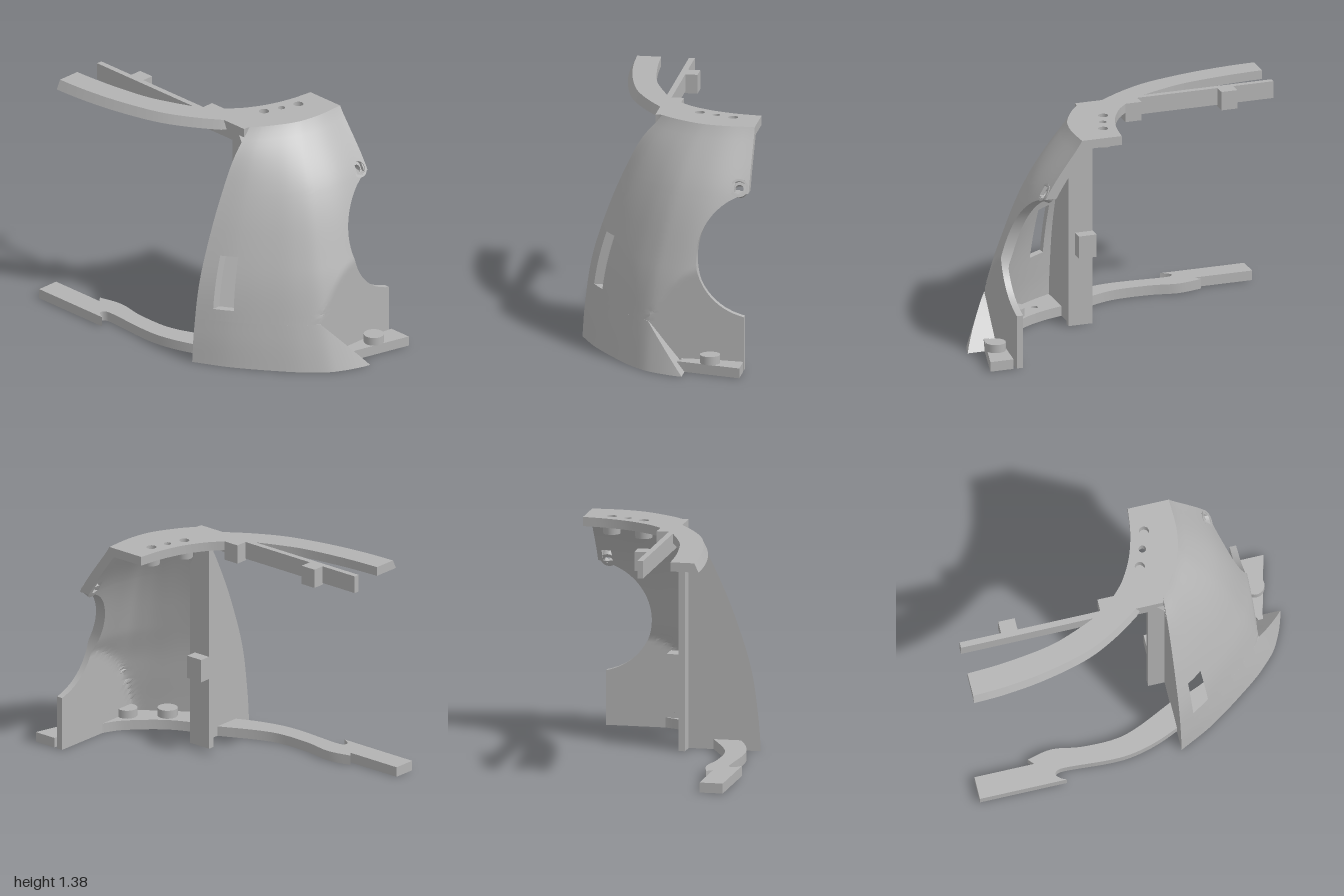
import * as THREE from 'three';
import { toCreasedNormals } from 'three/addons/utils/BufferGeometryUtils.js';

const grey = new THREE.MeshStandardMaterial({ color: 0xb3b3b3, side: THREE.DoubleSide });
grey.name = 'plain grey';

// smooth function through a few [input, value] points
function through(p) {
  const slope = (i) => {
    const a = p[Math.max(i - 1, 0)], b = p[Math.min(i + 1, p.length - 1)];
    return (b[1] - a[1]) / (b[0] - a[0]);
  };
  return (v) => {
    let i = 0;
    while (i < p.length - 2 && v > p[i + 1][0]) i++;
    const h = p[i + 1][0] - p[i][0];
    const u = Math.min(Math.max((v - p[i][0]) / h, 0), 1), w = 1 - u;
    return p[i][1] * (1 + 2 * u) * w * w + p[i + 1][1] * u * u * (3 - 2 * u)
      + h * u * w * (w * slope(i) - u * slope(i + 1));
  };
}

// shell: rear edge position, depth by height, and the shared cross-section
const edgeX = through([[0, -0.505], [0.2, -0.49], [0.5, -0.445], [0.8, -0.35], [1.04, -0.25], [1.23, -0.15], [1.37, -0.03]]);
const depth = through([[0, 0.785], [0.28, 0.69], [0.6, 0.59], [1.03, 0.42], [1.37, 0.18]]);
const section = through([[0, 0], [0.1, 0.26], [0.26, 0.57], [0.36, 0.735], [0.48, 0.875], [0.7, 0.98], [1, 0.96]]);
const along = (x, y) => (x - edgeX(y)) / (0.55 - edgeX(y));
const shellZ = (x, y) => 0.23 + depth(y) * section(along(x, y));
const flareX = (y) => -0.02 + (0.28 - y) * 0.82;
const FLAT = 0.81, INNER_FLAT = 0.77, TOP = 1.375;
const BOSS = [0.49, 1.06];
const { smoothstep } = THREE.MathUtils;

// right border of the upper shell, with the round cut-out
function borderX(y) {
  const d = 0.359 ** 2 - (y - 0.68) ** 2;
  return d > 0 ? Math.min(0.55, 0.62 - Math.sqrt(d)) : 0.55;
}

// thick curved panel on a grid, open at the slot and screw hole; every open edge gets a rim
function panel(rows, right, limit) {
  const cols = [0, 0.025, 0.05, 0.085, 0.115, 0.16, 0.2];
  for (let i = 1; i <= 22; i++) cols.push(0.2 + (0.8 * i) / 22);
  const point = (i, j, inner) => {
    const y = rows[j], x0 = edgeX(y), t = cols[i], near = x0 + Math.min(t, 0.2) * (0.55 - x0);
    const x = t <= 0.2 ? near : near + ((t - 0.2) / 0.8) * (right(y) - near);
    const z = shellZ(x, y);
    if (!inner) return [x, y, Math.min(z, limit)];
    const k = smoothstep(along(x, y), 0.12, 0.6);
    const thick = 0.045 + 0.025 * smoothstep(y, 0.4, 0.64);
    return [x + 0.05 * (1 - k), y, Math.min(z - k * thick, INNER_FLAT)];
  };
  const keep = (i, j) => {
    if (i < 0 || j < 0 || i >= cols.length - 1 || j >= rows.length - 1) return false;
    if (cols[i] > 0.049 && cols[i] < 0.114 && rows[j] > 0.349 && rows[j] < 0.669) return false;
    const a = point(i, j, false), b = point(i + 1, j + 1, false);
    return Math.hypot((a[0] + b[0]) / 2 - BOSS[0], (a[1] + b[1]) / 2 - BOSS[1]) > 0.034;
  };
  const pos = [];
  const quad = (a, b, c, d) => [a, b, c, a, c, d].forEach((p) => pos.push(...p));
  for (let j = 0; j < rows.length - 1; j++) for (let i = 0; i < cols.length - 1; i++) {
    if (!keep(i, j)) continue;
    const c = [[i, j], [i + 1, j], [i + 1, j + 1], [i, j + 1]];
    const o = c.map(([a, b]) => point(a, b, false)), n = c.map(([a, b]) => point(a, b, true));
    quad(...o);
    quad(n[3], n[2], n[1], n[0]);
    [[i, j - 1], [i + 1, j], [i, j + 1], [i - 1, j]].forEach((next, e) => {
      const f = (e + 1) % 4;
      if (!keep(...next)) quad(o[f], o[e], n[e], n[f]);
    });
  }
  const g = new THREE.BufferGeometry();
  g.setAttribute('position', new THREE.Float32BufferAttribute(pos, 3));
  return toCreasedNormals(g, 0.5);
}

const curve = (pts, n = 24) => new THREE.SplineCurve(pts.map(([x, z]) => new THREE.Vector2(x, z))).getPoints(n).map((p) => [p.x, p.y]);

// flat slab from an [x, z] outline, with round holes [x, z, radius]
function slab(outline, y, height, holes = []) {
  const shape = new THREE.Shape(outline.map(([x, z]) => new THREE.Vector2(x, -z)));
  for (const [x, z, r] of holes) shape.holes.push(new THREE.Path().absarc(x, -z, r, 0, Math.PI * 2, true));
  const g = new THREE.ExtrudeGeometry(shape, { depth: height, bevelEnabled: false, curveSegments: 10 });
  return toCreasedNormals(g.rotateX(-Math.PI / 2).translate(0, y, 0), 0.5);
}

// upright plate from an [x, y] outline
function upright(outline, z, thick) {
  const shape = new THREE.Shape(outline.map(([x, y]) => new THREE.Vector2(x, y)));
  return new THREE.ExtrudeGeometry(shape, { depth: thick, bevelEnabled: false }).translate(0, 0, z);
}

export function createModel() {
  const group = new THREE.Group();
  const add = (name, geometry) => {
    const mesh = new THREE.Mesh(geometry, grey);
    mesh.name = name;
    group.add(mesh);
    return mesh;
  };
  const box = (name, x0, x1, y0, y1, z0, z1) => add(name, new THREE.BoxGeometry(x1 - x0, y1 - y0, z1 - z0)
    .translate((x0 + x1) / 2, (y0 + y1) / 2, (z0 + z1) / 2));

  // curved shell with slot and round cut-out
  const rows = [0.28, 0.31, 0.327, 0.335, 0.35];
  for (let i = 1; i <= 14; i++) rows.push(0.35 + (0.32 * i) / 14);
  for (let i = 1; i <= 14; i++) rows.push(0.67 + (0.34 * i) / 14);
  rows.push(1.02, 1.028, 1.033);
  for (let i = 1; i <= 10; i++) rows.push(1.033 + ((TOP - 1.033) * i) / 10);
  add('shell', panel(rows, borderX, FLAT));

  // lower flare, closed by its side wall, and the flat front plate
  const low = Array.from({ length: 9 }, (_, i) => (0.28 * i) / 8);
  add('lowerFlare', panel(low, flareX, 2));
  add('frontPlate', upright([[-0.02, 0.28], [0.21, 0], [0.55, 0], [0.55, 0.28]], INNER_FLAT, FLAT - INNER_FLAT));

  // rear plate and upright strip with a slanted top corner
  const back = [[-0.05, 0]];
  for (let i = 0; i <= 15; i++) back.push([edgeX(i * 0.08) + 0.045, i * 0.08]);
  back.push([-0.05, 1.25]);
  add('rearPlate', upright(back, 0.23, 0.03));
  add('uprightStrip', upright([[0.13, 0], [0.28, 0], [0.28, 1.12], [0.165, 1.36], [0.13, 1.36]], 0.03, 0.04).rotateY(-Math.PI / 2));

  // top bar and mounting blocks
  box('topBar', -0.07, -0.035, 1.27, TOP, -1, 0.17);
  for (const z of [-0.75, -0.15]) box('topBlock', -0.04, 0.038, 1.26, TOP, z, z + 0.1);
  box('uprightBlock', -0.04, 0.04, 0.44, 0.58, 0.13, 0.24);

  // top plate with its curved arm, whose outer side leans inward
  const topOuter = [
    ...curve([[-0.395, -1], [-0.385, -0.8], [-0.35, -0.55], [-0.28, -0.28], [-0.18, -0.08], [-0.07, 0.08]]),
    [-0.07, 0.225],
    ...curve([[-0.03, 0.23], [0.1, 0.305], [0.25, 0.375], [0.4, 0.4], [0.55, 0.39]]),
  ];
  const topInner = [
    ...curve([[0.55, 0.155], [0.4, 0.135], [0.25, 0.09], [0.12, 0.02], [0.04, -0.05]]),
    [-0.05, -0.06],
    ...curve([[-0.07, -0.2], [-0.125, -0.33], [-0.18, -0.5], [-0.22, -0.77], [-0.235, -1]]),
  ];
  const topPlate = slab([...topOuter, ...topInner], 1.32, TOP - 1.32, [[0.18, 0.14, 0.03], [0.285, 0.18, 0.022], [0.39, 0.215, 0.03]]);
  const armMiddle = through([[-1, -0.31], [-0.55, -0.27], [-0.28, -0.19], [-0.08, -0.12], [0.1, -0.03]]);
  const tp = topPlate.attributes.position;
  for (let i = 0; i < tp.count; i++) {
    if (tp.getZ(i) < 0.07 && tp.getX(i) < armMiddle(tp.getZ(i))) tp.setX(i, tp.getX(i) + (tp.getY(i) > 1.35 ? 0.017 : -0.01));
  }
  add('topPlate', toCreasedNormals(topPlate, 0.5));
  for (const [x, z] of [[0.18, 0.14], [0.39, 0.215]]) {
    add('topPeg', new THREE.CylinderGeometry(0.055, 0.05, 0.05, 24).translate(x, 1.297, z));
  }

  // base ring with its hooked rear arm
  const baseOuter = [
    [-0.55, -1], [-0.55, -0.475],
    ...curve([[-0.535, -0.505], [-0.51, -0.53], [-0.485, -0.52], [-0.475, -0.46], [-0.49, -0.2], [-0.48, -0.05], [-0.44, 0.1], [-0.385, 0.23]]),
    ...curve([[-0.475, 0.24], [-0.37, 0.42], [-0.23, 0.63], [-0.1, 0.79], [0.02, 0.87], [0.14, 0.875], [0.35, 0.925], [0.55, 0.975]]),
  ];
  const baseInner = [
    ...curve([[0.55, 0.83], [0.3, 0.8], [0.14, 0.75], [0.04, 0.68], [-0.09, 0.54], [-0.17, 0.39], [-0.22, 0.23]]),
    ...curve([[-0.225, 0.22], [-0.33, 0], [-0.37, -0.15], [-0.37, -0.35], [-0.345, -0.52], [-0.375, -0.67]]),
    [-0.41, -0.64], [-0.41, -1],
  ];
  const pegs = [[0.36, 0.875], [-0.01, 0.75], [-0.165, 0.57]];
  add('baseRing', slab([...baseOuter, ...baseInner], 0, 0.06,
    [...pegs.map(([x, z]) => [x, z, 0.03]), [0.163, 0.83, 0.02], [-0.25, 0.415, 0.02]]));
  for (const [x, z] of pegs) add('basePeg', new THREE.CylinderGeometry(0.06, 0.06, 0.05, 24).translate(x, 0.085, z));

  // countersunk screw hole through the shell
  const ring = [[0.025, -0.055], [0.046, -0.055], [0.05, -0.02], [0.056, 0.002], [0.042, 0.002], [0.042, -0.02], [0.025, -0.02], [0.025, -0.055]];
  const boss = add('screwBoss', toCreasedNormals(new THREE.LatheGeometry(ring.map(([r, h]) => new THREE.Vector2(r, h)), 28), 0.5));
  boss.position.set(...BOSS, shellZ(...BOSS));
  boss.rotation.x = 1.05;
  return group;
}
